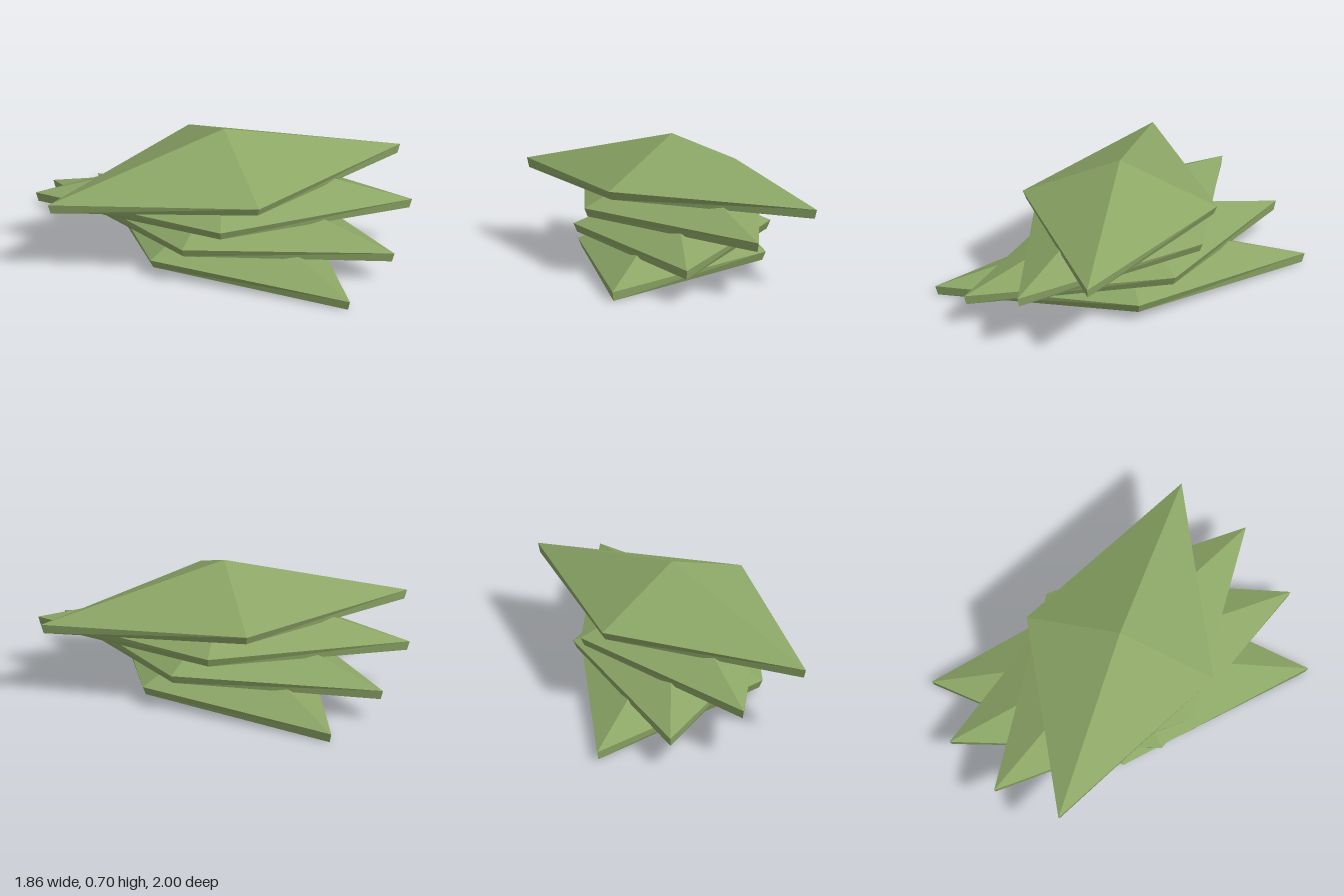
import * as THREE from 'three';

const LAYERS = 4, TWIST = 0.4, RISE = 0.126;

// One hollow four-sided canopy: long tips along z, short corners along x.
function canopyGeometry() {
  const ring = (long, short, yLong, yShort) => [
    [0, yLong, long], [short, yShort, 0], [0, yLong, -long], [-short, yShort, 0],
  ];
  const upper = ring(1, 0.525, 0.05, 0.096);
  const lower = ring(0.985, 0.505, 0, 0.05);
  const peak = [0, 0.325, 0];
  const hollow = [0, 0.247, 0];
  const points = [];
  for (let i = 0; i < 4; i++) {
    const j = (i + 1) % 4;
    points.push(upper[i], upper[j], peak); // roof
    points.push(lower[j], lower[i], hollow); // underside
    points.push(lower[i], lower[j], upper[j], lower[i], upper[j], upper[i]); // rim
  }
  const geometry = new THREE.BufferGeometry();
  geometry.setAttribute('position', new THREE.Float32BufferAttribute(points.flat(), 3));
  geometry.computeVertexNormals();
  return geometry;
}

export function createModel() {
  const model = new THREE.Group();
  model.name = 'twistedCanopyStack';
  const leafGreen = new THREE.MeshStandardMaterial({ color: 0x8ca666 });
  leafGreen.name = 'leafGreen';
  const geometry = canopyGeometry();

  // Equal canopies, each raised and turned above the last
  for (let i = 0; i < LAYERS; i++) {
    const canopy = new THREE.Mesh(geometry, leafGreen);
    canopy.name = `canopy${i + 1}`;
    canopy.position.y = i * RISE;
    canopy.rotation.y = i * TWIST;
    model.add(canopy);
  }
  return model;
}
